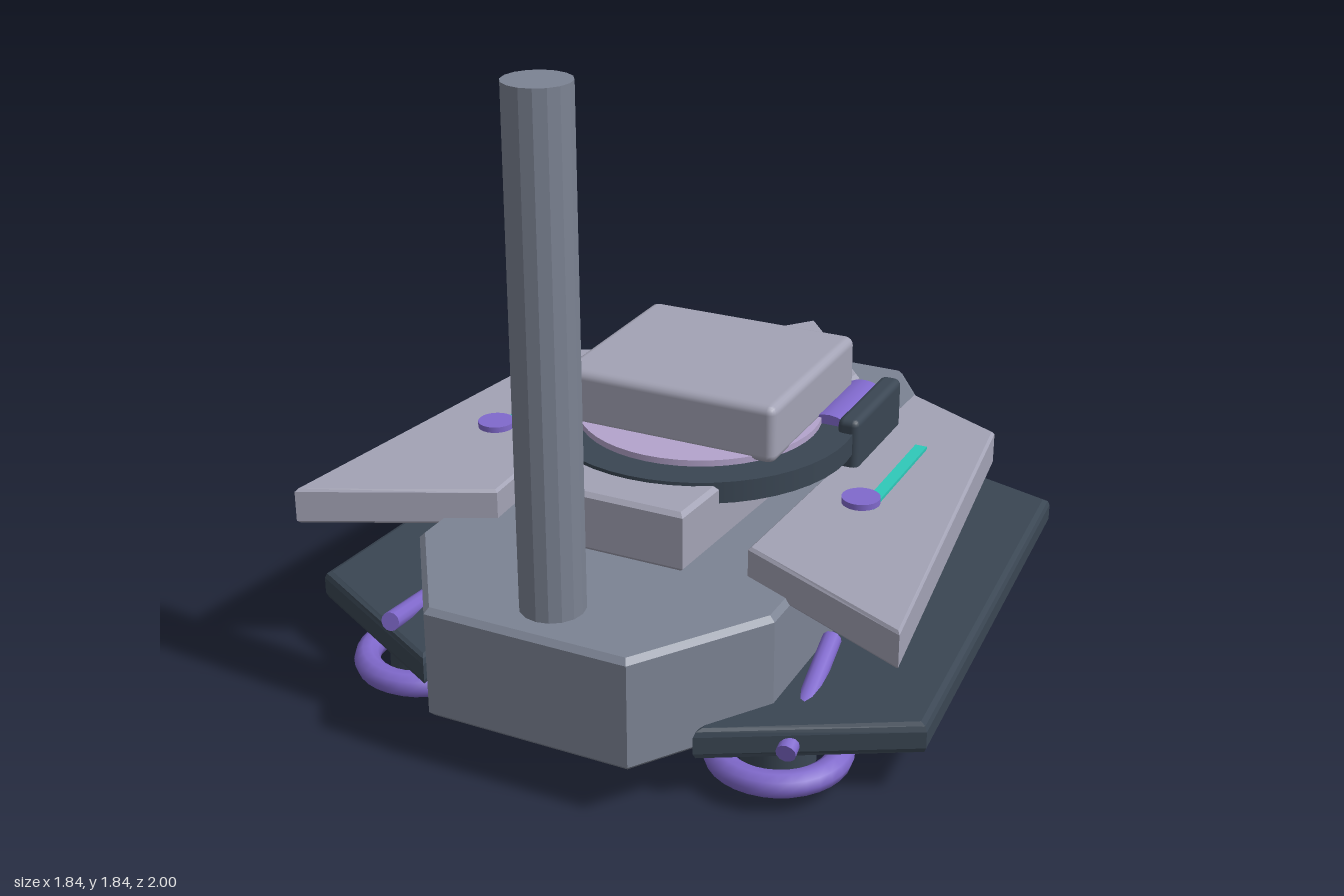
import * as THREE from 'three';
import { RoundedBoxGeometry } from 'three/addons/geometries/RoundedBoxGeometry.js';

const mat = (name, color) => new THREE.MeshStandardMaterial({ name, color });

export function createModel() {
  const root = new THREE.Group();
  root.name = 'hoverTank';
  const hullGrey = mat('hull grey', 0x7c8393);
  const plateGrey = mat('plate grey', 0xa3a3b5);
  const dark = mat('dark slate', 0x3a4653);
  const purple = mat('purple', 0x8069cc);
  const teal = mat('teal', 0x2fc9b9);
  const lavender = mat('lavender', 0xb4a4cc);

  const add = (name, geometry, material, x = 0, y = 0, z = 0) => {
    const mesh = new THREE.Mesh(geometry, material);
    mesh.name = name;
    mesh.position.set(x, y, z);
    root.add(mesh);
    return mesh;
  };

  // Bevelled slab from an [x, z] outline between two heights
  const slab = (outline, bottom, top, bevel, bevelSegments = 1) => {
    const shape = new THREE.Shape(outline.map(([x, z]) => new THREE.Vector2(x, z)));
    const g = new THREE.ExtrudeGeometry(shape, {
      depth: top - bottom - 2 * bevel, bevelThickness: bevel, bevelSize: bevel,
      bevelOffset: -bevel, bevelSegments,
    });
    return g.rotateX(Math.PI / 2).translate(0, top - bevel, 0);
  };
  const flip = (outline, side) => outline.map(([x, z]) => [x * side, z]);
  const symmetric = (half) => [...half, ...flip(half, -1).reverse()];
  const disc = (r, bottom, top, segments = 48) =>
    new THREE.CylinderGeometry(r, r, top - bottom, segments).translate(0, (top + bottom) / 2, 0);

  // Rod between two points
  const rod = (name, a, b, r) => {
    const from = new THREE.Vector3(...a), to = new THREE.Vector3(...b);
    const dir = to.clone().sub(from);
    const mesh = add(name, new THREE.CylinderGeometry(r, r, dir.length(), 12), purple);
    mesh.position.copy(from).add(to).multiplyScalar(0.5);
    mesh.quaternion.setFromUnitVectors(new THREE.Vector3(0, 1, 0), dir.normalize());
  };

  // Hull, belly thruster and tall mast
  add('hull', slab(symmetric([[0.29, 1], [0.53, 0.65], [0.53, -0.6], [0.26, -1]]), 0.145, 0.465, 0.015), hullGrey);
  add('bellyThruster', disc(0.26, 0, 0.1, 32), purple, 0, 0, -0.02);
  const mastGeometry = disc(0.087, 0.4, 1.84, 16).toNonIndexed();
  mastGeometry.computeVertexNormals();
  add('mast', mastGeometry, hullGrey, 0, 0, 0.845);

  // Turret stack
  add('turretBase', slab(symmetric([[0.225, 0.555], [0.297, -0.51], [0, -0.875]].slice(0, 2))
    .toSpliced(2, 0, [0, -0.875]), 0.47, 0.642, 0.012), plateGrey);
  add('turretRing', disc(0.45, 0.59, 0.652), dark, 0, 0, -0.02);
  add('turretDisc', disc(0.35, 0.62, 0.67), lavender, 0, 0, -0.02);
  add('turretTop', new RoundedBoxGeometry(0.66, 0.17, 0.59, 2, 0.025), plateGrey, 0, 0.737, -0.085);

  const skirt = [[0.835, -0.79], [0.435, -0.915], [0.4, 0.856], [0.92, 0.575]];
  const wing = [[0.735, -0.485], [0.425, -0.645], [0.38, 0.485], [0.887, 0.722]];

  for (const s of [1, -1]) {
    // Side armour
    add('skirt', slab(flip(skirt, s), 0.125, 0.213, 0.02, 2), dark);
    add('wingPlate', slab(flip(wing, s), 0.445, 0.55, 0.008), plateGrey);
    add('wingStrip', new THREE.BoxGeometry(0.035, 0.125, 0.42), teal, s * 0.58, 0.497, -0.07);
    add('wingDisc', disc(0.053, 0.58, 0.597, 24), purple, s * 0.57, 0, 0.17);

    // Turret side pods
    add('turretDrum', new THREE.CylinderGeometry(0.095, 0.095, 0.28, 24).rotateX(Math.PI / 2),
      purple, s * 0.36, 0.587, -0.25);
    add('turretPad', new RoundedBoxGeometry(0.064, 0.24, 0.355, 2, 0.02), dark, s * 0.43, 0.573, -0.252);

    // Hover rings with dark hubs
    for (const z of [0.637, -0.02, -0.67]) {
      add('hoverRing', new THREE.TorusGeometry(0.163, 0.037, 10, 32).rotateX(Math.PI / 2),
        purple, s * 0.54, 0.075, z);
      add('hoverHub', disc(0.1, 0.05, 0.13, 24), dark, s * 0.54, 0, z);
    }

    // Slanted struts through the skirts
    for (const z of [0.55, -0.52]) {
      rod('strut', [s * 0.56, 0.24, z - s * 0.22], [s * 0.615, 0.155, z + s * 0.215], 0.027);
    }

    // Rear knobs
    add('rearKnob', new THREE.SphereGeometry(0.027, 12, 8), purple, s * 0.3, 0.25, -0.915);
  }
  return root;
}
